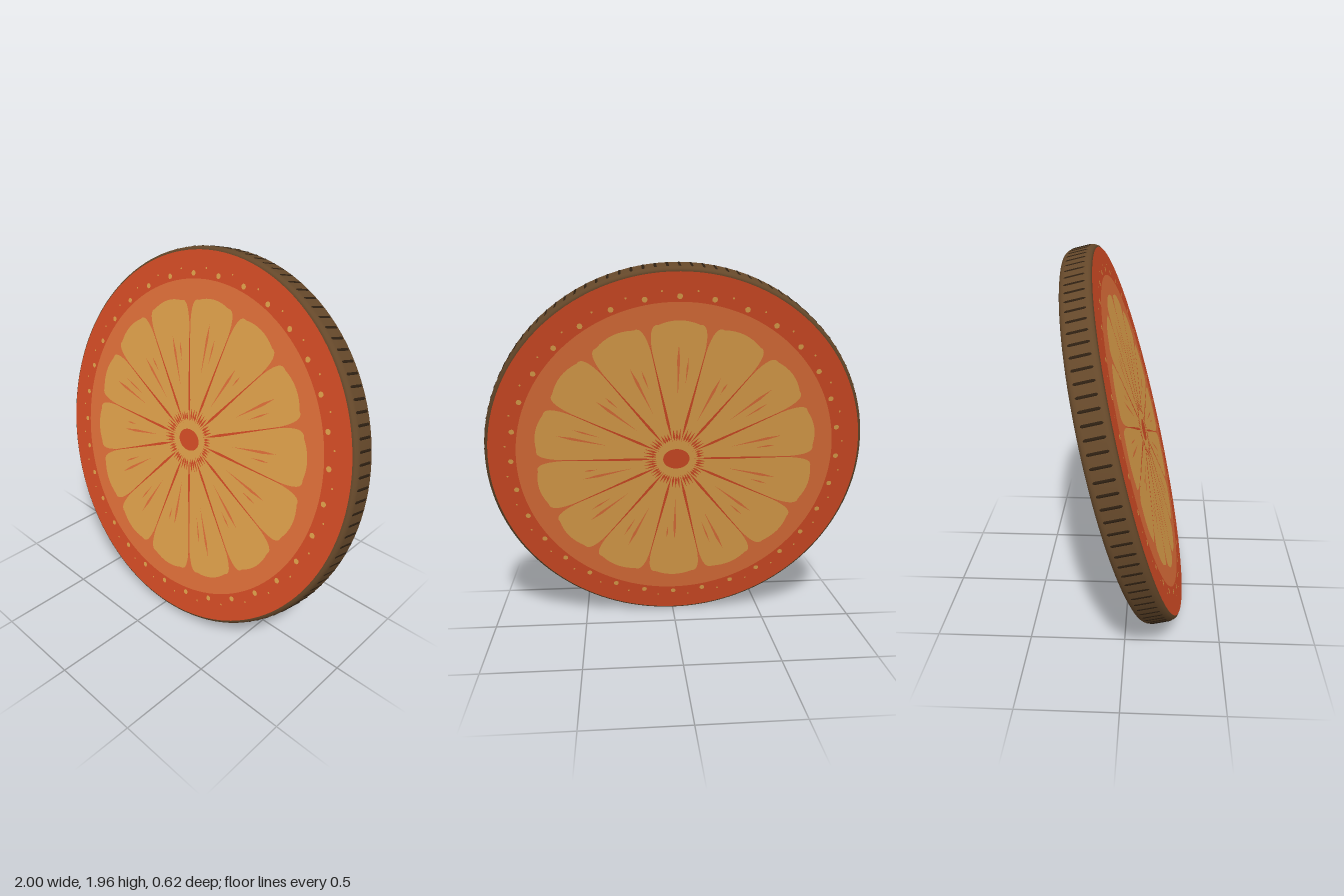
import * as THREE from 'three';
import { mergeGeometries } from 'three/addons/utils/BufferGeometryUtils.js';

const material = (name, color) => {
  const m = new THREE.MeshStandardMaterial({ color });
  m.name = name;
  return m;
};

const SEGMENTS = 14;
const STEP = (Math.PI * 2) / SEGMENTS;
const HALF = 0.076; // half thickness of the disc

const mesh = (name, geometry, mat, z = 0) => {
  const m = new THREE.Mesh(geometry, mat);
  m.name = name;
  m.position.z = z;
  return m;
};

// one fruit wedge pointing along +x, with rounded outer corners
function wedge() {
  const p = (r, a) => [r * Math.cos(a), r * Math.sin(a)];
  const h = STEP / 2;
  const s = new THREE.Shape();
  s.moveTo(...p(0.05, -h));
  s.lineTo(...p(0.6, -h + 0.005));
  s.quadraticCurveTo(...p(0.745, -h + 0.015), ...p(0.73, -h + 0.085));
  s.quadraticCurveTo(...p(0.768, 0), ...p(0.73, h - 0.085));
  s.quadraticCurveTo(...p(0.745, h - 0.015), ...p(0.6, h - 0.005));
  s.lineTo(...p(0.05, h));
  return new THREE.ShapeGeometry(s, 8);
}

// slim radial sliver from r0 to r1, widest at fraction "peak"
function sliver(r0, r1, width, angle, peak) {
  const rm = r0 + (r1 - r0) * peak;
  const s = new THREE.Shape();
  s.moveTo(r0, 0);
  s.lineTo(rm, -width / 2);
  s.lineTo(r1, 0);
  s.lineTo(rm, width / 2);
  return new THREE.ShapeGeometry(s).rotateZ(angle);
}

function createFace(mats) {
  const face = new THREE.Group();
  const { peel, pith, flesh } = mats;
  const layer = (n) => HALF + 0.0012 * n;
  face.add(mesh('peelDisc', new THREE.CircleGeometry(0.978, 128), peel, layer(1)));
  face.add(mesh('pithDisc', new THREE.CircleGeometry(0.835, 128), pith, layer(2)));

  const wedges = [], membranes = [], fibres = [], spokes = [], dots = [];
  for (let i = 0; i < SEGMENTS; i++) {
    const a = i * STEP;
    const vary = Math.sin(i * 2.4); // gentle repeatable variation
    wedges.push(wedge().rotateZ(a + STEP / 2));
    membranes.push(sliver(0.1, 0.66, 0.014, a, 0.2));
    fibres.push(sliver(0.3 + 0.07 * vary, 0.57 + 0.07 * vary, 0.015, a + STEP / 2, 0.7));
    fibres.push(sliver(0.42, 0.53 + 0.04 * vary, 0.009, a + STEP * 0.3, 0.6));
    for (const k of [0.25, 0.5, 0.75]) {
      spokes.push(sliver(0.105, 0.15 + 0.03 * Math.abs(vary), 0.012, a + STEP * k, 0.3));
    }
  }
  // oil glands around the peel, with tiny ones between
  for (let i = 0; i < 64; i++) {
    const a = (i * Math.PI * 2) / 64;
    const r = i % 2 ? 0.89 : 0.862;
    dots.push(new THREE.CircleGeometry(i % 2 ? 0.005 : 0.014, 10)
      .translate(r * Math.cos(a), r * Math.sin(a), 0));
  }
  face.add(mesh('fleshSegments', mergeGeometries(wedges), flesh, layer(3)));
  face.add(mesh('peelDots', mergeGeometries(dots), flesh, layer(3)));
  face.add(mesh('coreRing', new THREE.CircleGeometry(0.095, 40), flesh, layer(4)));
  face.add(mesh('fibres', mergeGeometries(fibres), pith, layer(4)));
  face.add(mesh('membranes', mergeGeometries(membranes), peel, layer(5)));
  face.add(mesh('coreSpokes', mergeGeometries(spokes), peel, layer(5)));
  face.add(mesh('core', new THREE.CircleGeometry(0.07, 40).scale(1, 0.82, 1), peel, layer(6)));
  return face;
}

export function createModel() {
  const mats = {
    peel: material('peelRed', 0xd44c25),
    pith: material('pithOrange', 0xe07039),
    flesh: material('fleshYellow', 0xe0a24b),
  };
  const rimBrown = material('rimBrown', 0x65482a);
  const grooveDark = material('grooveDark', 0x2e2012);

  const disc = new THREE.Group();
  disc.name = 'slice';

  // rim with softly rounded edges
  const half = [[0.998, 0.045], [0.995, 0.06], [0.988, 0.071], [0.976, HALF], [0, HALF]];
  const profile = [
    ...half.map(([r, y]) => new THREE.Vector2(r, -y)).reverse(),
    ...half.map(([r, y]) => new THREE.Vector2(r, y)),
  ];
  disc.add(mesh('rim', new THREE.LatheGeometry(profile, 128).rotateX(Math.PI / 2), rimBrown));

  // slots running across the rim
  const slots = [];
  const count = 108;
  for (let i = 0; i < count; i++) {
    slots.push(new THREE.CapsuleGeometry(0.012, 0.082, 3, 8)
      .rotateX(Math.PI / 2)
      .translate(0.9885, 0, 0)
      .rotateZ((i * Math.PI * 2) / count));
  }
  disc.add(mesh('rimSlots', mergeGeometries(slots), grooveDark));

  // matching cut faces on both sides
  const front = createFace(mats);
  front.name = 'frontFace';
  const back = createFace(mats);
  back.name = 'backFace';
  back.rotation.y = Math.PI;
  disc.add(front, back);

  // leaning backwards, resting on its lower edge
  disc.rotation.x = -0.245;
  disc.position.y = 0.985;

  const model = new THREE.Group();
  model.name = 'fruitSliceDisc';
  model.add(disc);
  return model;
}
